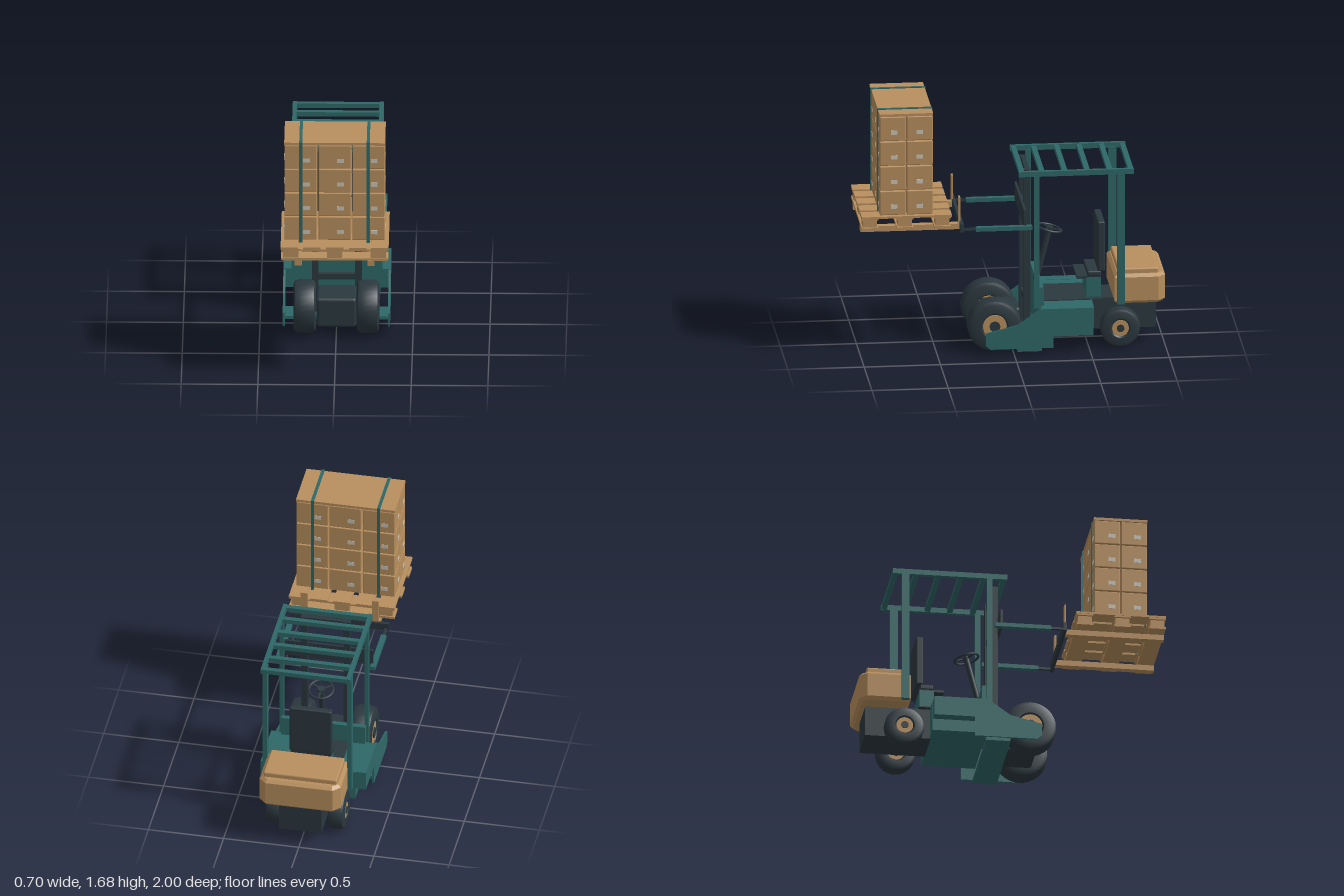
import * as THREE from 'three';
import { RoundedBoxGeometry } from 'three/addons/geometries/RoundedBoxGeometry.js';
import { toCreasedNormals } from 'three/addons/utils/BufferGeometryUtils.js';

const paint = (name, color) => {
  const m = new THREE.MeshStandardMaterial({ color });
  m.name = name;
  return m;
};

export function createModel() {
  const teal = paint('teal', 0x2f6868);
  const dark = paint('charcoal', 0x2b383f);
  const tan = paint('tan', 0xb88f5e);
  const paper = paint('label grey', 0xc9c5b9);
  const root = new THREE.Group();
  root.name = 'forklift';

  const add = (name, geo, mat, parent = root) => {
    const m = new THREE.Mesh(geo, mat);
    m.name = name;
    parent.add(m);
    return m;
  };
  // Box given by its limits on each axis; r rounds the edges
  const box = (name, mat, [x0, x1], [y0, y1], [z0, z1], r = 0, parent = root) => {
    const s = [x1 - x0, y1 - y0, z1 - z0];
    const geo = r ? new RoundedBoxGeometry(...s, 2, r) : new THREE.BoxGeometry(...s);
    const m = add(name, geo, mat, parent);
    m.position.set((x0 + x1) / 2, (y0 + y1) / 2, (z0 + z1) / 2);
    return m;
  };
  // The same box on both sides
  const pair = (name, mat, [x0, x1], y, z, r = 0) => {
    box(name, mat, [x0, x1], y, z, r);
    box(name, mat, [-x1, -x0], y, z, r);
  };
  const shapeOf = (pts) => new THREE.Shape(pts.map((p) => new THREE.Vector2(...p)));

  // Wheels: tyre, rim and hub turned about the x axis
  function wheel(name, R, w, rim, x, y, z) {
    const g = new THREE.Group();
    g.name = name;
    g.position.set(x, y, z);
    root.add(g);
    const h = w / 2, c = w * 0.2;
    const profile = [[0, -h * 0.8], [rim, -h * 0.8], [rim + 0.01, -h], [R - c, -h], [R - c * 0.3, -h + c * 0.35],
      [R, -h + c * 1.2], [R, h - c * 1.2], [R - c * 0.3, h - c * 0.35], [R - c, h], [rim + 0.01, h], [rim, h * 0.8], [0, h * 0.8]];
    const tyre = new THREE.LatheGeometry(profile.map((p) => new THREE.Vector2(...p)), 32);
    add('tyre', toCreasedNormals(tyre, 0.6), dark, g).rotation.z = Math.PI / 2;
    add('rim', new THREE.CylinderGeometry(rim, rim, w * 0.92, 24), tan, g).rotation.z = Math.PI / 2;
    add('hub', new THREE.CylinderGeometry(rim * 0.45, rim * 0.45, w + 0.004, 16), dark, g).rotation.z = Math.PI / 2;
  }
  for (const s of [-1, 1]) {
    wheel('frontWheel', 0.175, 0.145, 0.078, s * 0.206, 0.178, 0.12);
    wheel('rearWheel', 0.13, 0.1, 0.055, s * 0.21, 0.135, -0.705);
  }
  const axle = add('rearAxle', new THREE.CylinderGeometry(0.03, 0.03, 0.4, 12), dark);
  axle.rotation.z = Math.PI / 2;
  axle.position.set(0, 0.135, -0.705);

  // Chassis and body
  box('driveHousing', dark, [-0.13, 0.13], [0.05, 0.255], [-0.06, 0.18], 0.02);
  box('rearChassis', dark, [-0.14, 0.14], [0.1, 0.31], [-0.95, -0.52]);
  box('body', teal, [-0.28, 0.28], [0.1, 0.31], [-0.525, -0.17]);
  box('underPlate', teal, [-0.34, 0.34], [0.022, 0.045], [-0.18, -0.02]);
  box('floorMat', dark, [-0.175, 0.175], [0.308, 0.316], [-0.6, -0.19]);
  box('cowl', teal, [-0.28, 0.28], [0.3, 0.44], [-0.2, -0.165]);
  pair('sideStep', teal, [0.27, 0.35], [0.18, 0.312], [-0.522, -0.18]);

  // Sloping side guards beside the front wheels
  const guard = new THREE.ExtrudeGeometry(shapeOf([[0.185, 0.07], [0.185, 0.155], [-0.02, 0.205], [-0.17, 0.31],
    [-0.255, 0.31], [-0.255, 0.045], [0.155, 0.045]]), { depth: 0.014, bevelEnabled: false });
  guard.rotateY(-Math.PI / 2);
  guard.scale(1, 1, 1);
  for (const x of [0.35, -0.336]) add('sideGuard', guard, teal).position.x = x;

  // Counterweight with chamfered rear corners and a raised lid
  const weight = new THREE.ExtrudeGeometry(shapeOf([[-0.25, 0.685], [0.25, 0.685], [0.25, 0.945], [0.215, 0.98],
    [-0.215, 0.98], [-0.25, 0.945]]), { depth: 0.16, bevelSize: 0.02, bevelThickness: 0.02, bevelSegments: 1 });
  weight.rotateX(-Math.PI / 2);
  add('counterweight', weight, tan).position.y = 0.325;
  box('counterweightLid', tan, [-0.245, 0.245], [0.49, 0.54], [-0.955, -0.69], 0.012);

  // Seat
  box('seatBase', teal, [-0.13, 0.13], [0.3, 0.45], [-0.59, -0.495]);
  box('seatPan', dark, [-0.13, 0.13], [0.442, 0.458], [-0.59, -0.43]);
  box('seatCushion', dark, [-0.135, 0.135], [0.455, 0.492], [-0.59, -0.5], 0.01);
  box('seatBack', dark, [-0.14, 0.14], [0.49, 0.83], [-0.615, -0.568], 0.01);

  // Steering column and wheel
  const steering = new THREE.Group();
  steering.name = 'steering';
  steering.position.set(0, 0.755, -0.265);
  steering.rotation.x = -0.25;
  root.add(steering);
  add('column', new THREE.CylinderGeometry(0.019, 0.019, 0.36, 16), dark, steering).position.y = -0.18;
  add('steeringWheel', new THREE.TorusGeometry(0.08, 0.008, 8, 32), dark, steering).rotation.x = Math.PI / 2;
  add('steeringHub', new THREE.CylinderGeometry(0.024, 0.024, 0.02, 16), dark, steering);
  for (let i = 0; i < 3; i++) {
    const a = (i * 2 * Math.PI) / 3 + Math.PI / 2;
    const spoke = add('spoke', new THREE.BoxGeometry(0.08, 0.008, 0.014), dark, steering);
    spoke.position.set(Math.cos(a) * 0.04, 0, -Math.sin(a) * 0.04);
    spoke.rotation.y = a;
  }

  // Overhead guard
  pair('frontPost', teal, [0.268, 0.297], [0.3, 1.21], [-0.17, -0.135]);
  pair('rearPost', teal, [0.265, 0.297], [0.31, 1.21], [-0.73, -0.68]);
  pair('roofRail', teal, [0.27, 0.297], [1.203, 1.238], [-0.79, -0.035]);
  for (const z of [-0.77, -0.632, -0.485, -0.338, -0.188, -0.056]) {
    box('roofBar', teal, [-0.28, 0.28], [1.205, 1.235], [z - 0.017, z + 0.017]);
  }

  // Mast
  pair('mastUpright', dark, [0.12, 0.163], [0.05, 1.21], [-0.125, -0.08]);
  for (const y of [0.295, 0.93, 1.19]) {
    box('mastCrossbar', dark, [-0.13, 0.13], [y - 0.02, y + 0.02], [-0.12, -0.09]);
  }

  // Carriage, reach arms and forks
  box('carriagePlate', dark, [-0.31, 0.31], [0.865, 0.98], [-0.082, -0.066]);
  pair('reachArm', teal, [0.295, 0.33], [0.85, 0.877], [-0.12, 0.25]);
  pair('reachRod', dark, [0.304, 0.321], [0.856, 0.871], [0.24, 0.34]);
  box('forkBar', dark, [-0.33, 0.33], [0.85, 0.905], [0.33, 0.352]);
  pair('fork', tan, [0.214, 0.26], [0.85, 0.887], [0.345, 1]);
  pair('forkShank', tan, [0.214, 0.26], [0.86, 1.065], [0.345, 0.356]);

  // Pallet
  const rows = [0.47, 0.715, 0.945];
  for (const z of rows) {
    box('palletRunner', tan, [-0.35, 0.35], [0.888, 0.904], [z - 0.054, z + 0.054]);
    box('palletStringer', tan, [-0.35, 0.35], [0.955, 0.967], [z - 0.054, z + 0.054]);
    for (const x of [-0.285, 0, 0.285]) {
      box('palletBlock', tan, [x - 0.05, x + 0.05], [0.904, 0.957], [z - 0.046, z + 0.046]);
    }
  }
  for (const x of [-0.295, -0.15, 0, 0.15, 0.295]) {
    box('palletBoard', tan, [x - 0.057, x + 0.057], [0.966, 0.98], [0.41, 1]);
  }

  // Stacked cartons with labels on the outer faces
  const pitch = 0.169;
  for (let k = 0; k < 4; k++) {
    const y = 0.98 + k * pitch, label = [y + 0.045, y + 0.073];
    for (const x of [-0.223, 0, 0.22]) {
      for (const z of [0.617, 0.794]) {
        box('carton', tan, [x - 0.106, x + 0.106], [y + 0.001, y + pitch - 0.004], [z - 0.085, z + 0.085], 0.006);
      }
      box('frontLabel', paper, [x + 0.015, x + 0.06], label, [0.878, 0.881]);
      box('backLabel', paper, [x - 0.06, x - 0.015], label, [0.53, 0.533]);
    }
    for (const z of [0.648, 0.815]) {
      box('rightLabel', paper, [-0.331, -0.328], label, [z - 0.022, z + 0.022]);
      box('leftLabel', paper, [0.325, 0.328], label, [z - 0.052, z - 0.008]);
    }
  }
  box('topSheet', tan, [-0.33, 0.328], [1.655, 1.673], [0.53, 0.881]);

  // Straps around the load
  for (const x of [-0.222, 0.218]) {
    const w = [x - 0.01, x + 0.01];
    box('strapTop', teal, w, [1.672, 1.679], [0.526, 0.886]);
    box('strapFront', teal, w, [0.96, 1.676], [0.879, 0.886]);
    box('strapBack', teal, w, [0.96, 1.676], [0.526, 0.532]);
  }
  return root;
}
